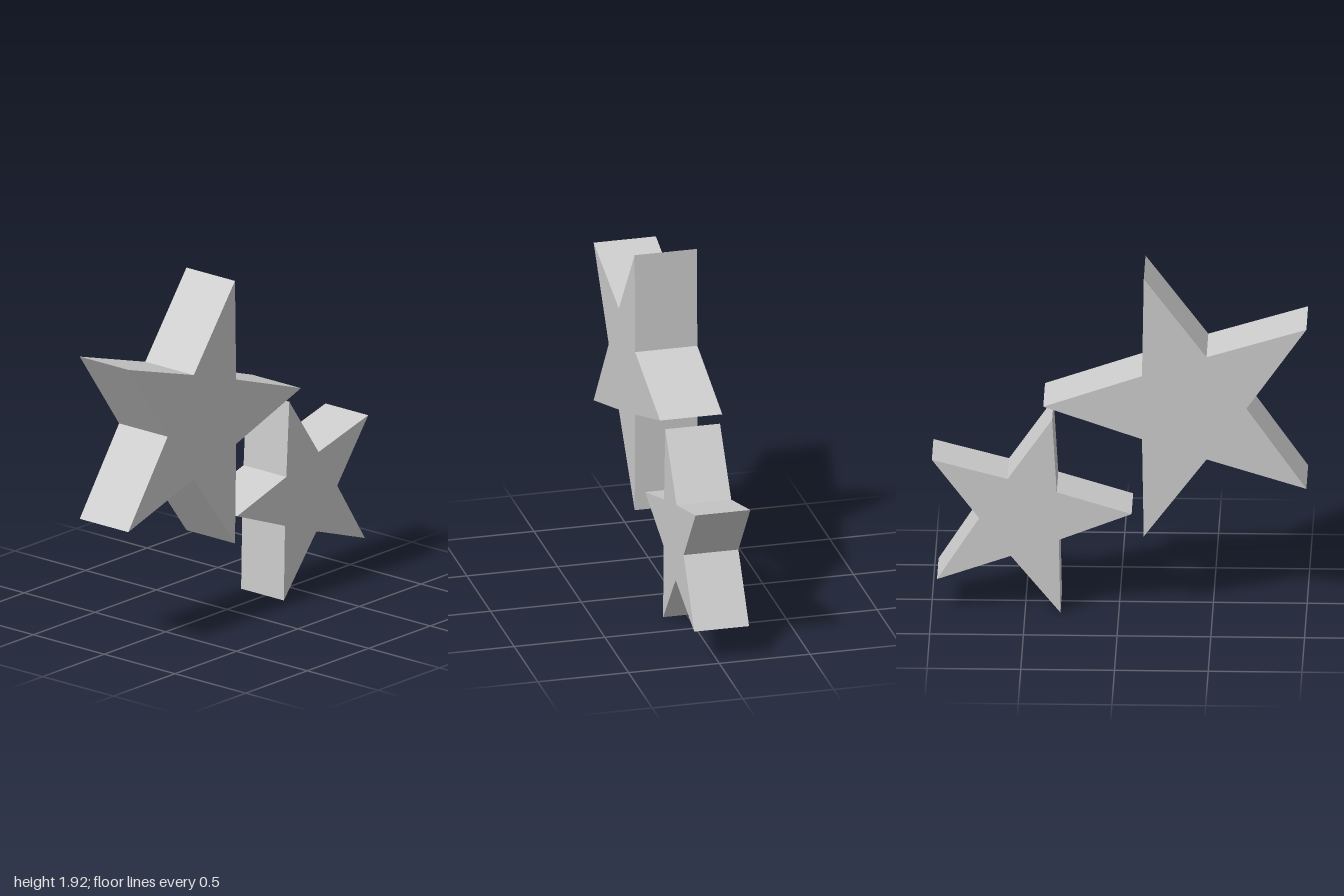
import * as THREE from 'three';

// Five-pointed star slab facing the x axis, thick from x = left to x = left + depth
function makeStar(name, { z, y, radius, inner, turn, left, depth }) {
  const points = [];
  for (let i = 0; i < 10; i++) {
    const a = turn + (i * Math.PI) / 5;
    const r = i % 2 ? inner : radius;
    points.push(new THREE.Vector2(r * Math.cos(a), r * Math.sin(a)));
  }
  const geometry = new THREE.ExtrudeGeometry(new THREE.Shape(points), { depth, bevelEnabled: false });
  geometry.rotateY(Math.PI / 2); // shape x becomes -z, extrusion runs along +x
  const material = new THREE.MeshStandardMaterial({ color: 0xcccccc, flatShading: true });
  const mesh = new THREE.Mesh(geometry, material);
  mesh.name = name;
  mesh.position.set(left, y, z);
  return mesh;
}

export function createModel() {
  const group = new THREE.Group();
  group.name = 'twoStars';

  // Large upper star, one tip pointing straight back
  group.add(makeStar('largeStar', {
    z: 0.373, y: 1.186, radius: 0.776, inner: 0.308, turn: 0, left: -0.172, depth: 0.343,
  }));

  // Small lower star, slightly turned, one tip pointing forward
  group.add(makeStar('smallStar', {
    z: -0.513, y: 0.552, radius: 0.582, inner: 0.232,
    turn: THREE.MathUtils.degToRad(177.7), left: -0.172, depth: 0.302,
  }));

  return group;
}
